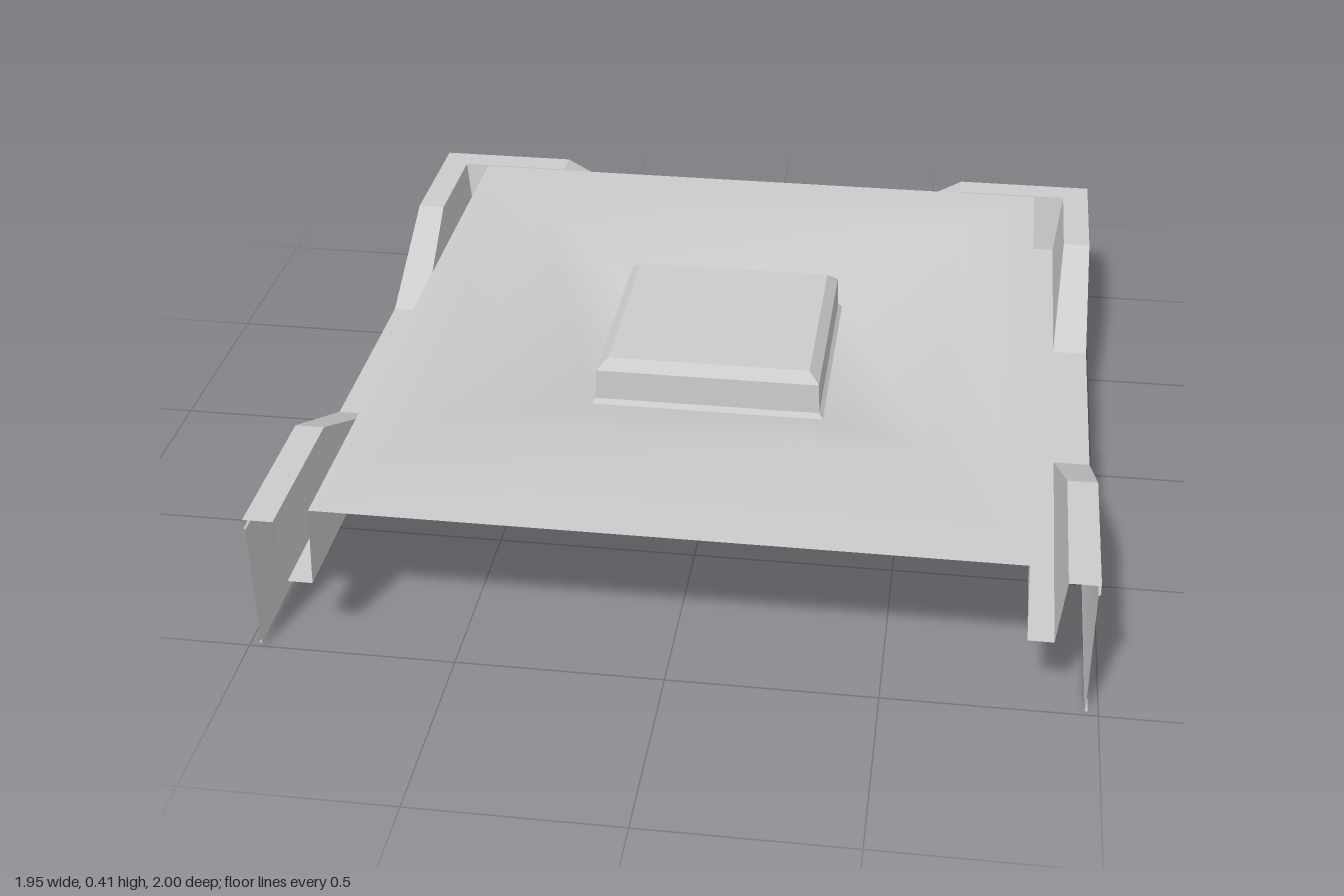
import * as THREE from 'three';
import { toCreasedNormals } from 'three/addons/utils/BufferGeometryUtils.js';

const material = new THREE.MeshStandardMaterial({ color: 0xcccccc, side: THREE.DoubleSide });

// Skin a grid of cross-sections: rows[i][j] is a point [x, y, z].
function skin(name, rows, closed, crease) {
  const n = rows[0].length;
  const index = [];
  const last = closed ? rows.length : rows.length - 1;
  for (let i = 0; i < last; i++) {
    const k = (i + 1) % rows.length;
    for (let j = 0; j < n - 1; j++) {
      const a = i * n + j, b = k * n + j;
      index.push(a, b, b + 1, a, b + 1, a + 1);
    }
  }
  const geometry = new THREE.BufferGeometry();
  geometry.setAttribute('position', new THREE.Float32BufferAttribute(rows.flat(2), 3));
  geometry.setIndex(index);
  const mesh = new THREE.Mesh(toCreasedNormals(geometry, crease), material);
  mesh.name = name;
  return mesh;
}

const HX = 0.975, HIGH = 0.365, LOW = 0.2, TOP = 0.405;

// Wall section from the foot, over the rim, through the channel, up to the deck:
// [distance inward, height], for a rim at height h.
function wallProfile(h) {
  const rimWidth = THREE.MathUtils.mapLinear(h, LOW, HIGH, 0.09, 0.072);
  return [
    [0, 0], [0, 0.01], [0.007, 0.012], [0.005, 0.025],
    [0.005, h - 0.027], [0, h - 0.024], [0, h],
    [rimWidth, h], [0.09, LOW], [0.15, LOW], [0.16, TOP],
  ];
}

// The wall runs around three sides; the front end is open.
function wall() {
  const rows = [];
  const add = (h, place) => rows.push(wallProfile(h).map(([d, y]) => {
    const [x, z] = place(d);
    return [x, y, z];
  }));
  const side = [[1, HIGH], [0.59, HIGH], [0.26, LOW], [-0.3, LOW], [-0.63, HIGH]];
  const back = [[0.6, HIGH], [0.3, LOW], [-0.3, LOW], [-0.6, HIGH]];
  for (const [z, h] of side) add(h, (d) => [HX - d, z]);
  add(HIGH, (d) => [HX - d, -1 + d]);
  for (const [x, h] of back) add(h, (d) => [x, -1 + d]);
  add(HIGH, (d) => [-HX + d, -1 + d]);
  for (const [z, h] of [...side].reverse()) add(h, (d) => [-HX + d, z]);
  return skin('channelledWall', rows, false, 0.4);
}

// Nested rectangles [xMin, xMax, zMin, zMax, y], skinned from outside inward.
function nestedRings(name, rings, crease) {
  const corners = [[1, 3], [1, 2], [0, 2], [0, 3]];
  const rows = corners.map(([x, z]) => rings.map((r) => [r[x], r[4], r[z]]));
  return skin(name, rows, true, crease);
}

export function createModel() {
  const model = new THREE.Group();
  model.name = 'model';
  const cz = -0.025;
  const square = (s, y) => [-s, s, cz - s, cz + s, y];

  model.add(wall());

  // Flat deck sinking to a shallow square dish
  model.add(nestedRings('dishedDeck', [
    [-0.815, 0.815, -0.84, 1, TOP],
    square(0.6, TOP),
    square(0.298, 0.288),
  ], 0.6));

  // Hollow raised block with a bevelled top
  model.add(nestedRings('raisedBlock', [
    square(0.298, 0.288),
    square(0.288, 0.3),
    square(0.285, 0.38),
    square(0.258, TOP),
    square(0, TOP),
  ], 0.4));

  return model;
}
